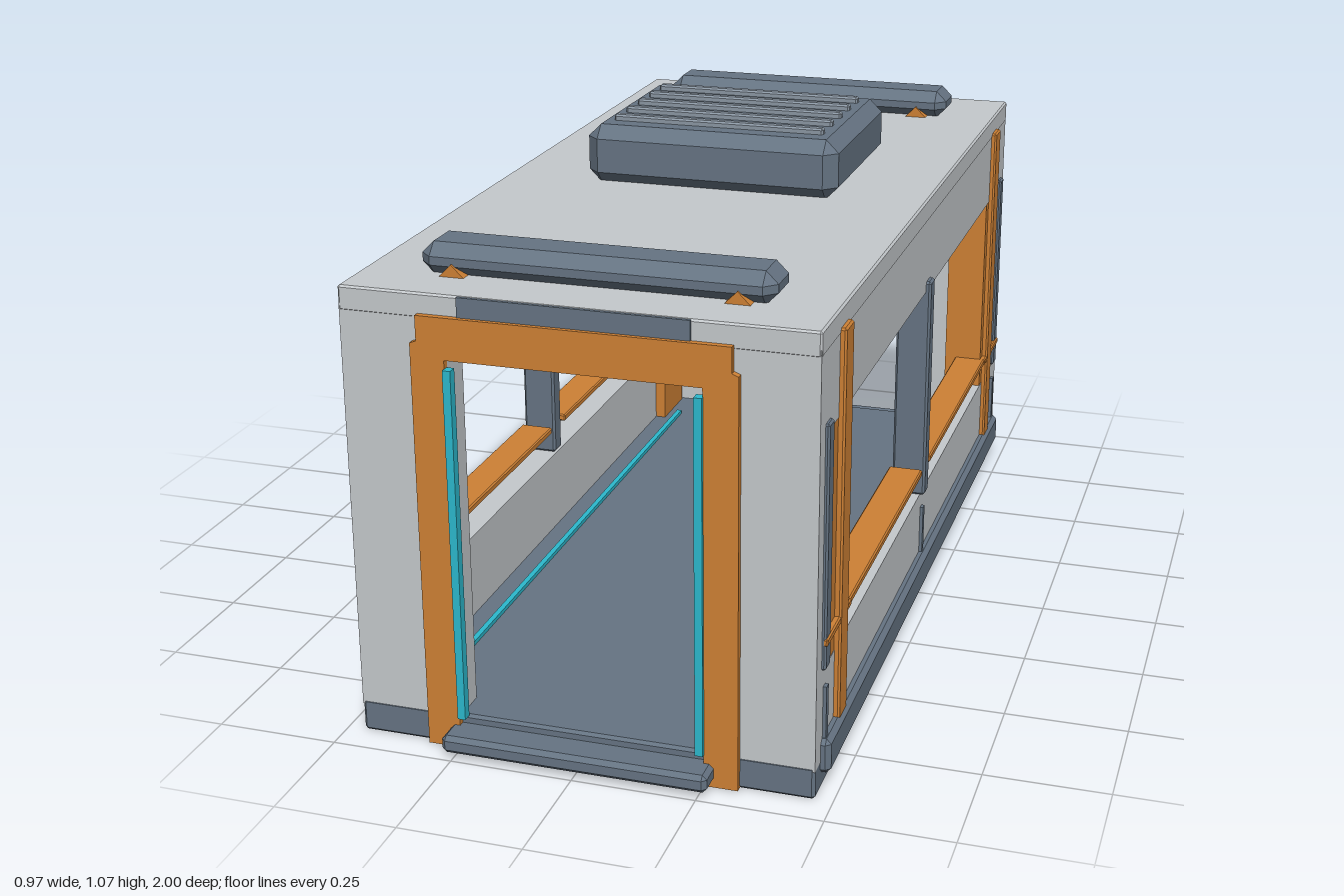
import * as THREE from 'three';
import { ConvexGeometry } from 'three/addons/geometries/ConvexGeometry.js';

const mat = (name, color) => Object.assign(new THREE.MeshStandardMaterial({ color }), { name });

export function createModel() {
  const hull = mat('hull grey', 0xc5c9cc);
  const slate = mat('slate metal', 0x667483);
  const steel = mat('vent steel', 0x8b97a3);
  const orange = mat('orange trim', 0xce8135);
  const cyan = mat('cyan light', 0x2cb9cd);
  const model = new THREE.Group();
  model.name = 'cabinModule';

  const add = (name, geo, material) => {
    const m = new THREE.Mesh(geo, material);
    m.name = name;
    model.add(m);
    return m;
  };
  // box given by its extents on each axis, with an optional chamfer on all edges
  const block = (name, material, [x0, x1], [y0, y1], [z0, z1], c = 0) => {
    const h = [(x1 - x0) / 2, (y1 - y0) / 2, (z1 - z0) / 2];
    let geo;
    if (c > 0) {
      const pts = [];
      for (const sx of [-1, 1]) for (const sy of [-1, 1]) for (const sz of [-1, 1])
        for (let full = 0; full < 3; full++) {
          const p = [0, 1, 2].map((k) => (k === full ? h[k] : h[k] - c));
          pts.push(new THREE.Vector3(sx * p[0], sy * p[1], sz * p[2]));
        }
      geo = new ConvexGeometry(pts);
    } else geo = new THREE.BoxGeometry(h[0] * 2, h[1] * 2, h[2] * 2);
    const m = add(name, geo, material);
    m.position.set((x0 + x1) / 2, (y0 + y1) / 2, (z0 + z1) / 2);
    return m;
  };
  // mirrored extents
  const side = (s, a, b) => (s > 0 ? [a, b] : [-b, -a]);
  const both = [-1, 1];

  // floor and roof
  block('floor', slate, [-0.465, 0.465], [0.001, 0.07], [-0.935, 0.935], 0.006);
  block('roof', hull, [-0.466, 0.466], [0.885, 0.935], [-0.935, 0.935], 0.004);

  // end wall with a doorway, extruded along z
  const arch = (points, inner, depth) => {
    const s = new THREE.Shape(points.map(([x, y]) => new THREE.Vector2(x, y)));
    const [w, y0, y1] = inner;
    s.holes.push(new THREE.Path([[-w, y0], [-w, y1], [w, y1], [w, y0]].map(([x, y]) => new THREE.Vector2(x, y))));
    return new THREE.ExtrudeGeometry(s, { depth, bevelEnabled: false });
  };
  const wallGeo = arch([[-0.465, 0.06], [0.465, 0.06], [0.465, 0.9], [-0.465, 0.9]], [0.25, 0.065, 0.815], 0.07);
  // door trim, open at the bottom with notched upper corners
  const trimShape = new THREE.Shape([
    [0.25, 0.003], [0.318, 0.003], [0.318, 0.84], [0.305, 0.845], [0.305, 0.895], [-0.305, 0.895], [-0.305, 0.845],
    [-0.318, 0.84], [-0.318, 0.003], [-0.25, 0.003], [-0.25, 0.812], [0.25, 0.812],
  ].map(([x, y]) => new THREE.Vector2(x, y)));
  const trimGeo = new THREE.ExtrudeGeometry(trimShape, { depth: 0.025, bevelEnabled: false });

  for (const e of both) {
    const end = e > 0 ? 'front' : 'back';
    add(end + 'Wall', wallGeo, hull).position.z = e > 0 ? 0.864 : -0.934;
    add(end + 'DoorTrim', trimGeo, orange).position.z = e > 0 ? 0.923 : -0.948;
    block(end + 'Threshold', slate, [-0.27, 0.27], [0.015, 0.052], side(e, 0.925, 1), 0.009);
    block(end + 'DoorPlate', slate, [-0.225, 0.225], [0.84, 0.934], side(e, 0.932, 0.939));
    // roof bar, ceiling rib and corner braces
    block(end + 'RoofBar', slate, [-0.35, 0.35], [0.93, 0.995], side(e, 0.708, 0.827), 0.024);
    block(end + 'CeilingRib', orange, [-0.4, 0.4], [0.82, 0.89], side(e, 0.715, 0.82), 0.006);
    for (const s of both) {
      const brace = add(end + 'CornerBrace', new THREE.BoxGeometry(0.2, 0.06, 0.13), orange);
      brace.position.set(s * 0.33, 0.868, e * 0.767);
      brace.rotation.z = -s * Math.PI / 4;
      // door light strips: outside at the front, inside at the back
      block(end + 'DoorLight', cyan, side(s, 0.235, 0.251), [0.07, 0.795],
        e > 0 ? [0.936, 0.956] : [-0.87, -0.85]);
    }
  }

  // long sides
  for (const s of both) {
    block('lowerSideWall', hull, side(s, 0.4, 0.465), [0.06, 0.25], [-0.865, 0.865]);
    block('upperSideWall', hull, side(s, 0.4, 0.465), [0.725, 0.9], [-0.865, 0.865]);
    block('sideRail', slate, side(s, 0.44, 0.484), [0.035, 0.107], [-0.895, 0.895], 0.01);
    block('floorLight', cyan, side(s, 0.342, 0.354), [0.069, 0.079], [-0.75, 0.75]);
    block('centrePost', slate, side(s, 0.402, 0.476), [0.25, 0.748], [-0.021, 0.021], 0.005);
    for (const z of [-0.875, 0, 0.875])
      block('wallRib', slate, side(s, 0.46, 0.472), [0.1, 0.215], [z - 0.008, z + 0.008]);
    for (const e of both) {
      block('windowPillar', orange, side(s, 0.375, 0.464), [0.06, 0.89], side(e, 0.71, 0.855));
      block('sidePost', orange, side(s, 0.455, 0.477), [0.1, 0.897], side(e, 0.738, 0.798), 0.004);
      block('cornerStrip', slate, side(s, 0.46, 0.473), [0.255, 0.748], side(e, 0.86, 0.897), 0.004);
      block('windowSill', orange, side(s, 0.4, 0.474), [0.305, 0.321], side(e, 0.042, 0.86), 0.003);
      block('outerSillBar', orange, side(s, 0.462, 0.476), [0.305, 0.321], side(e, 0.71, 0.897), 0.003);
    }
  }

  // rooftop vent unit with ribs
  block('ventUnit', slate, [-0.28, 0.28], [0.93, 1.06], [-0.355, 0.105], 0.028);
  for (let i = 0; i < 5; i++) {
    const z = 0.028 - i * 0.078;
    block('ventRib', steel, [-0.235, 0.235], [1.05, 1.073], [z - 0.011, z + 0.011], 0.004);
  }
  return model;
}
